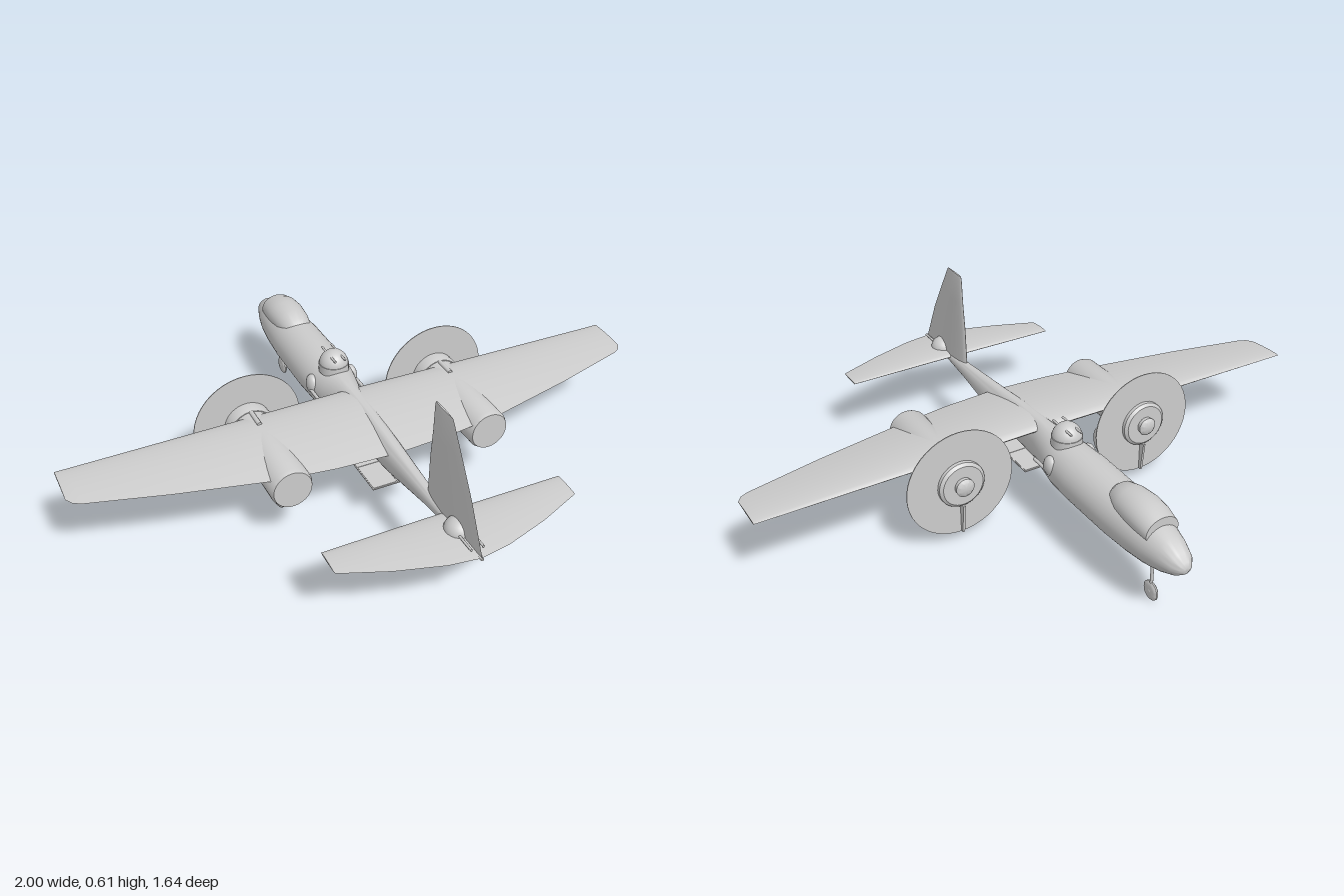
import * as THREE from 'three';
import { toCreasedNormals } from 'three/addons/utils/BufferGeometryUtils.js';

const V = (x, y, z) => new THREE.Vector3(x, y, z);
const material = new THREE.MeshStandardMaterial({ color: 0xcccccc, side: THREE.DoubleSide });

function add(parent, name, geometry, x = 0, y = 0, z = 0) {
  const mesh = new THREE.Mesh(geometry, material);
  mesh.name = name;
  mesh.position.set(x, y, z);
  parent.add(mesh);
  return mesh;
}

// Skin joining closed rings of equal length, with fan caps at both ends
function loft(rings, crease = 0.6) {
  const n = rings[0].length, pts = rings.flat(), index = [];
  for (let i = 0; i < rings.length - 1; i++) {
    for (let j = 0; j < n; j++) {
      const a = i * n + j, b = i * n + (j + 1) % n;
      index.push(a, b, b + n, a, b + n, a + n);
    }
  }
  const last = (rings.length - 1) * n;
  for (let j = 1; j < n - 1; j++) {
    index.push(0, j + 1, j, last, last + j, last + j + 1);
  }
  const g = new THREE.BufferGeometry().setFromPoints(pts);
  g.setIndex(index);
  return toCreasedNormals(g, crease);
}

// Body along z from stations [z, half width, top, bottom]
function body(stations, n = 32) {
  return loft(stations.map(([z, w, top, bottom]) =>
    Array.from({ length: n }, (_, j) => {
      const a = j / n * Math.PI * 2;
      return V(w * Math.cos(a), (top + bottom) / 2 + (top - bottom) / 2 * Math.sin(a), z);
    })));
}

// Aerofoil surface along x from stations [x, leading z, trailing z, y, thickness, droop]
function foil(stations, n = 12) {
  return loft(stations.map(([x, z0, z1, y, t, droop]) =>
    Array.from({ length: 2 * n }, (_, j) => {
      const u = (1 - Math.cos(j / n * Math.PI)) / 2;
      const h = t / 2 * Math.sqrt(u) * (1 - u) / 0.385;
      return V(x, y - droop * Math.pow(u, 1.5) + (j <= n ? h : -h), z0 + (z1 - z0) * u);
    })));
}

// Mirrors half-span stations to the other side
const bothSides = (half) => [...half.slice(1).reverse().map(([x, ...rest]) => [-x, ...rest]), ...half];

// Turned part along z from [z, radius] pairs
function turned(profile, n = 36) {
  const g = new THREE.LatheGeometry(profile.map(([z, r]) => new THREE.Vector2(r, z)), n);
  return toCreasedNormals(g.rotateX(Math.PI / 2), 0.6);
}

const rodZ = (r, length) => new THREE.CylinderGeometry(r, r, length, 12).rotateX(Math.PI / 2);

function wheel(parent, name, r, width, x, z, strutTop) {
  const gear = new THREE.Group();
  gear.name = name;
  gear.position.set(x, 0, z);
  const h = width / 2;
  const tyre = [[-h, 0], [-h, r * 0.6], [-h * 0.8, r * 0.85], [-h * 0.3, r], [h * 0.3, r],
    [h * 0.8, r * 0.85], [h, r * 0.6], [h, 0]];
  add(gear, 'tyre', turned(tyre, 28).rotateY(Math.PI / 2), 0, r, 0);
  add(gear, 'hub', new THREE.SphereGeometry(r * 0.35, 16, 10).scale(width / r * 1.7, 1, 1), 0, r, 0);
  add(gear, 'strut', new THREE.CylinderGeometry(r * 0.16, r * 0.16, strutTop - r, 12), 0, (strutTop + r) / 2, 0);
  parent.add(gear);
}

function engine(side) {
  const g = new THREE.Group();
  g.name = side > 0 ? 'leftEngine' : 'rightEngine';
  g.position.set(0.35 * side, 0.225, 0);
  add(g, 'nacelle', turned([[-0.08, 0], [-0.08, 0.074], [0, 0.071], [0.265, 0.07], [0.28, 0.064], [0.28, 0]]));
  add(g, 'cowling', turned([[-0.128, 0], [-0.128, 0.07], [-0.12, 0.08], [-0.08, 0.082], [-0.062, 0.076], [-0.062, 0]]));
  add(g, 'spinner', turned([[-0.152, 0], [-0.15, 0.022], [-0.142, 0.032], [-0.126, 0.03]], 24));
  add(g, 'propellerDisc', rodZ(0.187, 0.003).copy(
    new THREE.CylinderGeometry(0.187, 0.187, 0.003, 48).rotateX(Math.PI / 2)), 0, 0, -0.107);
  // Edge-on lower blade, tapering to its tip
  const blade = new THREE.Shape([[-0.03, 0], [0.03, 0], [0.018, -0.107], [-0.014, -0.107]]
    .map(([a, b]) => new THREE.Vector2(a, b)));
  add(g, 'propellerBlade', new THREE.ExtrudeGeometry(blade, { depth: 0.008, bevelEnabled: false })
    .translate(0, 0, -0.004).rotateY(Math.PI / 2), 0, -0.078, -0.101);
  add(g, 'intakePipe', rodZ(0.008, 0.075), 0, 0.072, -0.025);
  return g;
}

export function createModel() {
  const plane = new THREE.Group();
  plane.name = 'twinEngineAeroplane';

  // Fuselage, nose toward -z
  add(plane, 'fuselage', body([
    [-0.82, 0.008, 0.228, 0.212], [-0.812, 0.022, 0.242, 0.2], [-0.79, 0.04, 0.262, 0.183],
    [-0.74, 0.057, 0.285, 0.163], [-0.68, 0.071, 0.3, 0.15], [-0.6, 0.081, 0.31, 0.143],
    [-0.5, 0.088, 0.315, 0.14], [-0.3, 0.09, 0.317, 0.14], [-0.2, 0.085, 0.313, 0.142],
    [-0.13, 0.07, 0.312, 0.145], [-0.05, 0.051, 0.31, 0.15], [0.1, 0.043, 0.305, 0.155],
    [0.28, 0.036, 0.288, 0.172], [0.5, 0.022, 0.27, 0.21], [0.7, 0.013, 0.258, 0.235],
    [0.82, 0.005, 0.25, 0.242],
  ]));
  add(plane, 'canopy', body([
    [-0.695, 0.058, 0.325, 0.23], [-0.65, 0.064, 0.34, 0.23], [-0.6, 0.066, 0.346, 0.23],
    [-0.54, 0.062, 0.342, 0.23], [-0.49, 0.052, 0.33, 0.23], [-0.47, 0.04, 0.312, 0.23],
  ]));

  // Flying surfaces
  add(plane, 'wing', foil(bothSides([
    [0, -0.055, 0.295, 0.287, 0.042, 0.027], [0.2, -0.055, 0.283, 0.285, 0.038, 0.026],
    [0.4, -0.055, 0.255, 0.283, 0.032, 0.024], [0.7, -0.055, 0.19, 0.281, 0.022, 0.015],
    [0.96, -0.055, 0.122, 0.279, 0.013, 0.007], [0.985, -0.055, 0.108, 0.279, 0.011, 0.006],
    [1, -0.055, 0.085, 0.279, 0.007, 0.005],
  ])));
  add(plane, 'tailplane', foil(bothSides([
    [0, 0.6, 0.815, 0.253, 0.022, 0.005], [0.1, 0.6, 0.8, 0.253, 0.02, 0.005],
    [0.25, 0.6, 0.754, 0.252, 0.015, 0.004], [0.395, 0.6, 0.695, 0.251, 0.009, 0.002],
    [0.4, 0.6, 0.69, 0.251, 0.006, 0.002],
  ])));
  add(plane, 'fin', foil([
    [0.25, 0.498, 0.818, 0, 0.024, 0], [0.4, 0.503, 0.745, 0, 0.018, 0],
    [0.5, 0.513, 0.685, 0, 0.014, 0], [0.595, 0.518, 0.626, 0, 0.01, 0],
    [0.605, 0.522, 0.618, 0, 0.006, 0],
  ]).rotateZ(Math.PI / 2));

  // Top turret with twin guns
  const dome = new THREE.SphereGeometry(0.05, 28, 12, 0, Math.PI * 2, 0, Math.PI / 2);
  add(plane, 'turretRing', new THREE.CylinderGeometry(0.052, 0.052, 0.03, 28), 0, 0.312, -0.18);
  add(plane, 'turretDome', dome, 0, 0.323, -0.18);
  // Rear dome at the fin root
  add(plane, 'tailDome', new THREE.SphereGeometry(0.047, 24, 16).scale(1, 0.9, 1), 0, 0.255, 0.685);

  for (const s of [-1, 1]) {
    plane.add(engine(s));
    wheel(plane, s > 0 ? 'leftMainGear' : 'rightMainGear', 0.058, 0.032, 0.32 * s, 0.07, 0.18);
    add(plane, 'turretGun', rodZ(0.004, 0.11), 0.018 * s, 0.36, -0.18);
    add(plane, 'tailGun', rodZ(0.004, 0.1), 0.02 * s, 0.265, 0.74);
    // Side gun blisters
    add(plane, 'sideBlister', new THREE.SphereGeometry(0.03, 18, 12).scale(0.7, 1.2, 1), 0.073 * s, 0.245, -0.2);
    add(plane, 'sideGun', rodZ(0.006, 0.07), 0.085 * s, 0.232, -0.155);
  }
  wheel(plane, 'noseGear', 0.033, 0.016, 0, -0.66, 0.17);

  // Belly bay doors, two columns of panels in a thin frame
  add(plane, 'bayFrame', new THREE.BoxGeometry(0.17, 0.003, 0.36), 0, 0.145, 0.12);
  for (const s of [-1, 1]) {
    for (let i = 0; i < 3; i++) {
      add(plane, 'bayPanel', new THREE.BoxGeometry(0.079, 0.006, 0.113), 0.042 * s, 0.145, i * 0.119 + 0.001);
    }
  }
  return plane;
}
